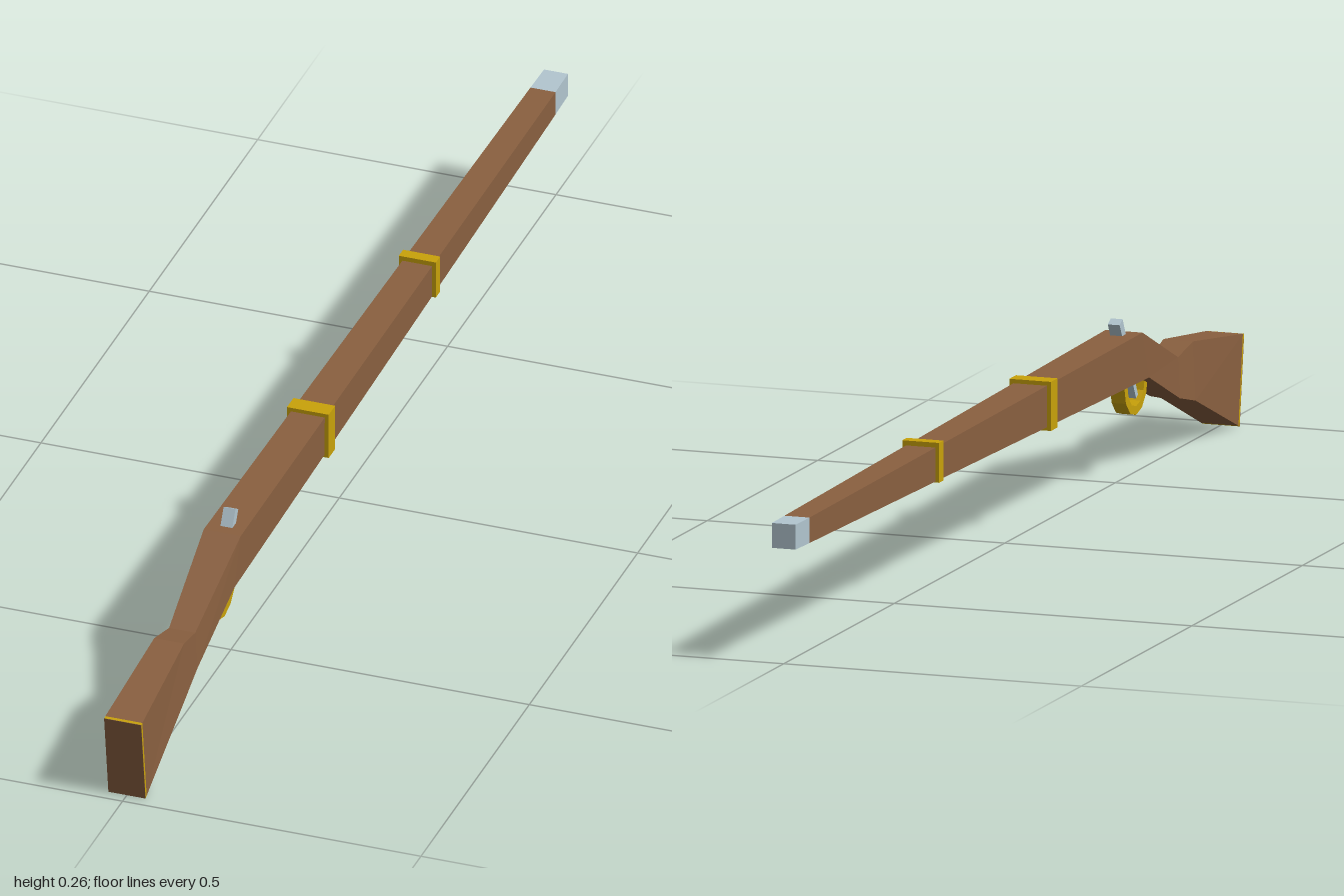
import * as THREE from 'three';

const wood = new THREE.MeshStandardMaterial({ name: 'walnut brown', color: 0x8a6040 });
const brass = new THREE.MeshStandardMaterial({ name: 'brass yellow', color: 0xc9a20a });
const steel = new THREE.MeshStandardMaterial({ name: 'pale steel', color: 0xb2c6d0 });

// Lofts four-cornered sections running from +z to -z.
// Section: [top z, top y, top half width, bottom z, bottom y, bottom half width]
function loft(sections) {
  const rings = sections.map(([zt, yt, wt, zb, yb, wb]) => [
    [wt, yt, zt], [-wt, yt, zt], [-wb, yb, zb], [wb, yb, zb],
  ]);
  const pos = [];
  const quad = (a, b, c, d) => pos.push(...a, ...b, ...c, ...a, ...c, ...d);
  for (let i = 0; i < rings.length - 1; i++) {
    for (let k = 0; k < 4; k++) {
      const n = (k + 1) % 4;
      quad(rings[i][k], rings[i + 1][k], rings[i + 1][n], rings[i][n]);
    }
  }
  const last = rings[rings.length - 1];
  quad(...rings[0]);
  quad(last[3], last[2], last[1], last[0]);
  const g = new THREE.BufferGeometry();
  g.setAttribute('position', new THREE.Float32BufferAttribute(pos, 3));
  g.computeVertexNormals();
  return g;
}

export function createModel() {
  const group = new THREE.Group();
  const add = (name, geometry, material, x = 0, y = 0, z = 0, tilt = 0) => {
    const mesh = new THREE.Mesh(geometry, material);
    mesh.name = name;
    mesh.position.set(x, y, z);
    mesh.rotation.x = tilt;
    group.add(mesh);
    return mesh;
  };

  // Butt, wrist and long tapering fore-end
  add('stock', loft([
    [0.994, 0.146, 0.031, 0.974, 0.002, 0.031],
    [0.785, 0.174, 0.025, 0.785, 0.079, 0.029],
    [0.725, 0.160, 0.022, 0.725, 0.094, 0.025],
    [0.540, 0.236, 0.031, 0.570, 0.158, 0.031],
    [-0.94, 0.225, 0.021, -0.94, 0.184, 0.021],
  ]), wood);

  // Brass edge of the butt, closed by a wooden end face
  add('buttEdge', loft([
    [0.999, 0.145, 0.031, 0.979, 0.0, 0.031],
    [0.994, 0.146, 0.031, 0.974, 0.002, 0.031],
  ]), brass);
  add('buttFace', loft([
    [1.0, 0.145, 0.031, 0.980, 0.0, 0.031],
    [0.999, 0.145, 0.031, 0.979, 0.0, 0.031],
  ]), wood);

  // Muzzle cap
  add('muzzle', loft([
    [-0.94, 0.225, 0.021, -0.94, 0.184, 0.021],
    [-1.0, 0.225, 0.020, -1.0, 0.185, 0.020],
  ]), steel);

  // Barrel bands
  add('rearBand', new THREE.BoxGeometry(0.070, 0.079, 0.030), brass, 0, 0.2, 0.13);
  add('frontBand', new THREE.BoxGeometry(0.062, 0.064, 0.020), brass, 0, 0.205, -0.37);

  // Hammer leaning forward on top
  add('hammer', new THREE.BoxGeometry(0.020, 0.034, 0.015), steel, 0, 0.244, 0.508, -0.5);

  // Faceted half-ring trigger guard, extruded across the width
  const outline = [];
  const steps = 6;
  for (let i = 0; i <= steps; i++) {
    const a = Math.PI + (Math.PI * i) / steps;
    outline.push(new THREE.Vector2(Math.cos(a) * 0.053, Math.sin(a) * 0.053));
  }
  outline.push(new THREE.Vector2(0.053, 0.012), new THREE.Vector2(0.039, 0.012));
  for (let i = steps; i >= 0; i--) {
    const a = Math.PI + (Math.PI * i) / steps;
    outline.push(new THREE.Vector2(Math.cos(a) * 0.039, Math.sin(a) * 0.039));
  }
  outline.push(new THREE.Vector2(-0.039, 0.012), new THREE.Vector2(-0.053, 0.012));
  const guard = new THREE.ExtrudeGeometry(new THREE.Shape(outline), { depth: 0.024, bevelEnabled: false });
  guard.translate(0, 0, -0.012);
  guard.rotateY(Math.PI / 2);
  add('triggerGuard', guard, brass, 0, 0.151, 0.562);

  // Trigger
  add('trigger', new THREE.BoxGeometry(0.012, 0.045, 0.010), steel, 0, 0.143, 0.572, -0.5);

  return group;
}
